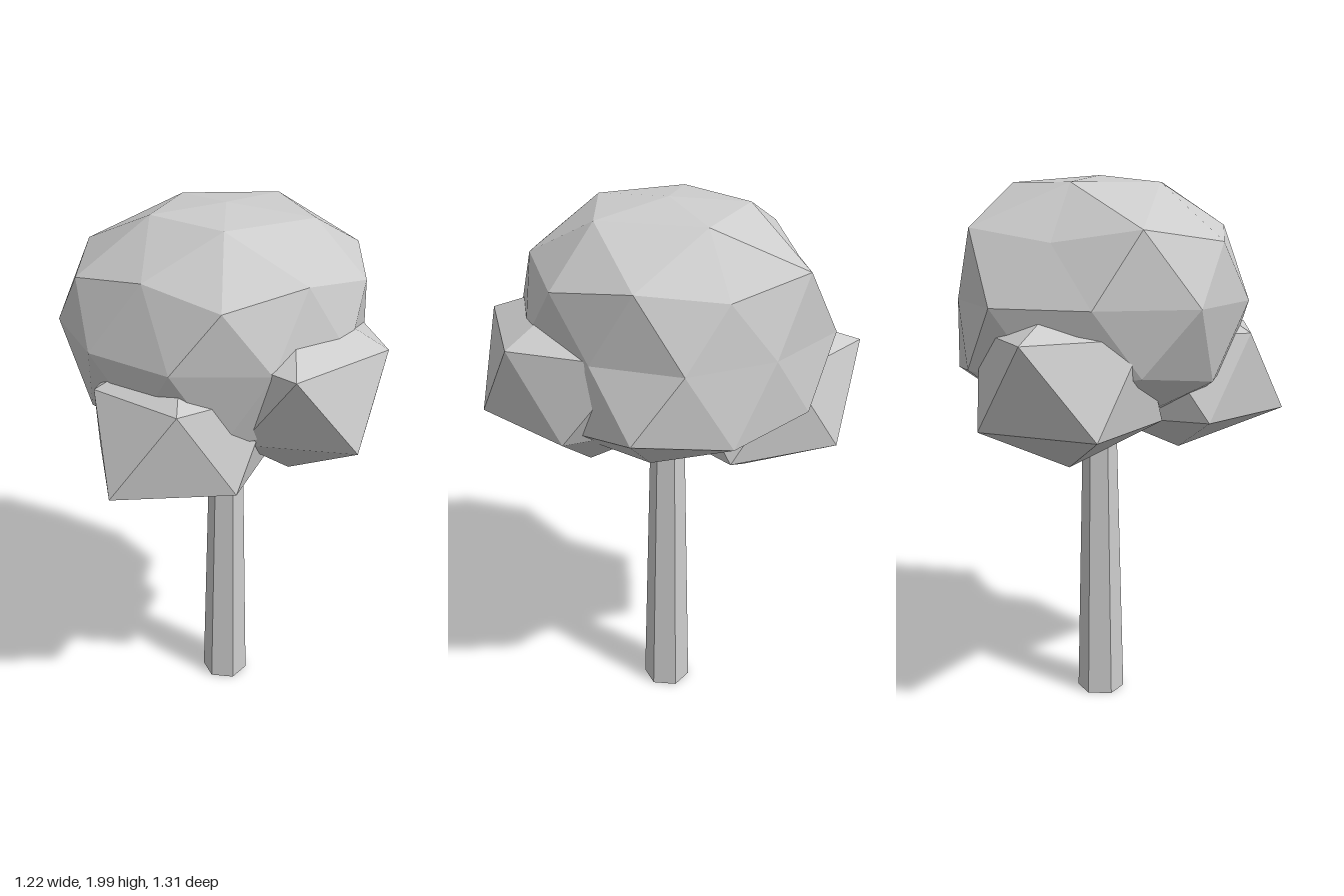
import * as THREE from 'three';
import { ConvexGeometry } from 'three/addons/geometries/ConvexGeometry.js';

const GREY = new THREE.MeshStandardMaterial({ color: 0xcccccc });
GREY.name = 'matte grey';
GREY.flatShading = true;

// Latitude rings, each { unit height, start angle, world y, radii around the axis }
function blob(name, [cx, cz], top, bottom, rings) {
  const unit = [new THREE.Vector3(0, 1, 0), new THREE.Vector3(0, -1, 0)];
  const real = [new THREE.Vector3(cx, top, cz), new THREE.Vector3(cx, bottom, cz)];
  for (const { h, start, y, radii } of rings) {
    radii.forEach((r, i) => {
      const a = THREE.MathUtils.degToRad(start + (360 / radii.length) * i);
      const w = Math.sqrt(1 - h * h);
      unit.push(new THREE.Vector3(w * Math.cos(a), h, w * Math.sin(a)));
      real.push(new THREE.Vector3(cx + r * Math.cos(a), y, cz + r * Math.sin(a)));
    });
  }
  // Facets come from the regular ball; its corners then move to the uneven radii
  const geo = new ConvexGeometry(unit);
  const pos = geo.attributes.position;
  const p = new THREE.Vector3();
  for (let i = 0; i < pos.count; i++) {
    p.fromBufferAttribute(pos, i);
    let best = 0;
    unit.forEach((u, k) => {
      if (u.distanceToSquared(p) < unit[best].distanceToSquared(p)) best = k;
    });
    pos.setXYZ(i, real[best].x, real[best].y, real[best].z);
  }
  geo.computeVertexNormals();
  const mesh = new THREE.Mesh(geo, GREY);
  mesh.name = name;
  return mesh;
}

// Twelve-cornered leaf clump
function lobe(name, centre, top, bottom, upperY, upper, lowerY, lower) {
  return blob(name, centre, top, bottom, [
    { h: 0.447, start: 0, y: upperY, radii: upper },
    { h: -0.447, start: 36, y: lowerY, radii: lower },
  ]);
}

export function createModel() {
  const tree = new THREE.Group();
  tree.name = 'tree';

  // Tapered six-sided trunk
  const trunk = new THREE.Mesh(new THREE.CylinderGeometry(0.06, 0.09, 1.25, 6), GREY);
  trunk.name = 'trunk';
  trunk.rotation.y = Math.PI / 6;
  trunk.position.set(0.08, 0.625, 0.003);
  tree.add(trunk);

  // Main rounded crown
  tree.add(blob('crown', [0.075, 0], 1.99, 1.08, [
    { h: 0.851, start: 0, y: 1.965, radii: [0.315, 0.32, 0.28, 0.27, 0.28] },
    { h: 0.447, start: 0, y: 1.77, radii: [0.48, 0.505, 0.52, 0.535, 0.455] },
    { h: 0.526, start: 36, y: 1.815, radii: [0.5, 0.47, 0.45, 0.53, 0.53] },
    { h: 0, start: 18, y: 1.56,
      radii: [0.525, 0.5, 0.52, 0.54, 0.55, 0.56, 0.605, 0.56, 0.587, 0.525] },
    { h: -0.526, start: 0, y: 1.29, radii: [0.532, 0.5, 0.48, 0.5, 0.5] },
    { h: -0.447, start: 36, y: 1.33, radii: [0.56, 0.5, 0.48, 0.52, 0.55] },
    { h: -0.851, start: 36, y: 1.13, radii: [0.28, 0.28, 0.27, 0.28, 0.28] },
  ]));

  // Smaller clumps around the underside
  tree.add(lobe('frontClump', [0.066, 0.3], 1.74, 1.064,
    1.57, [0.38, 0.335, 0.4, 0.34, 0.34], 1.273, [0.32, 0.37, 0.3, 0.33, 0.33]));
  tree.add(lobe('sideClump', [-0.22, 0.04], 1.6, 0.98,
    1.44, [0.33, 0.33, 0.315, 0.31, 0.33], 1.135, [0.33, 0.33, 0.392, 0.33, 0.33]));
  tree.add(lobe('backClump', [0.175, -0.27], 1.6, 0.972,
    1.46, [0.31, 0.33, 0.33, 0.33, 0.405], 1.145, [0.34, 0.33, 0.33, 0.39, 0.36]));
  return tree;
}
